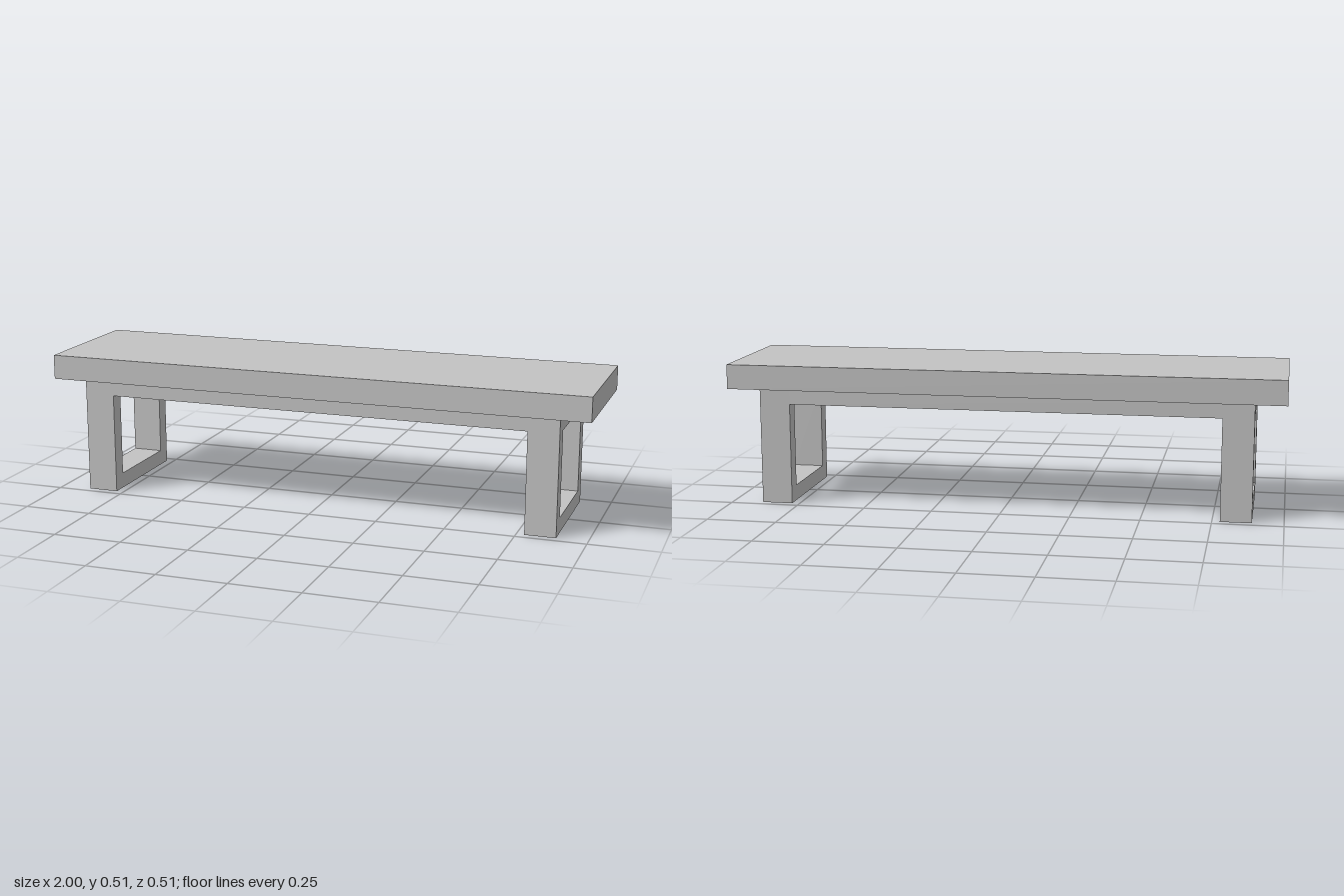
import * as THREE from 'three';

const grey = new THREE.MeshStandardMaterial({ color: 0xc3c3c3 });
grey.name = 'lightGrey';

const SEAT_BOTTOM = 0.424, SEAT_TOP = 0.513;
const LEG_INNER = 0.778, LEG_OUTER = 0.889;   // leg extent along x
const HALF_DEPTH = 0.222, BAR = 0.056;        // frame half depth and bar thickness

function box(name, w, h, d, x, y, z) {
  const mesh = new THREE.Mesh(new THREE.BoxGeometry(w, h, d), grey);
  mesh.name = name;
  mesh.position.set(x, y, z);
  return mesh;
}

function rectangle(target, halfWidth, bottom, top) {
  target.moveTo(-halfWidth, bottom);
  target.lineTo(halfWidth, bottom);
  target.lineTo(halfWidth, top);
  target.lineTo(-halfWidth, top);
  target.closePath();
  return target;
}

export function createModel() {
  const bench = new THREE.Group();
  bench.name = 'bench';

  // Thick overhanging plank
  bench.add(box('seat', 2, SEAT_TOP - SEAT_BOTTOM, 0.512, 0, (SEAT_TOP + SEAT_BOTTOM) / 2, 0));

  // Closed rectangular leg frames, drawn in the z-y plane and extruded along x
  const outline = rectangle(new THREE.Shape(), HALF_DEPTH, 0, SEAT_BOTTOM);
  outline.holes.push(rectangle(new THREE.Path(), HALF_DEPTH - BAR, BAR, SEAT_BOTTOM - BAR));
  const frame = new THREE.ExtrudeGeometry(outline, { depth: LEG_OUTER - LEG_INNER, bevelEnabled: false });
  frame.translate(0, 0, -(LEG_OUTER - LEG_INNER) / 2);
  frame.rotateY(Math.PI / 2);
  for (const side of [1, -1]) {
    const leg = new THREE.Mesh(frame, grey);
    leg.name = side > 0 ? 'leftLegFrame' : 'rightLegFrame';
    leg.position.x = side * (LEG_INNER + LEG_OUTER) / 2;
    bench.add(leg);

    // Long rail under the seat, flush with the leg faces
    bench.add(box(side > 0 ? 'frontRail' : 'backRail', LEG_INNER * 2, BAR, BAR,
      0, SEAT_BOTTOM - BAR / 2, side * (HALF_DEPTH - BAR / 2)));
  }
  return bench;
}
